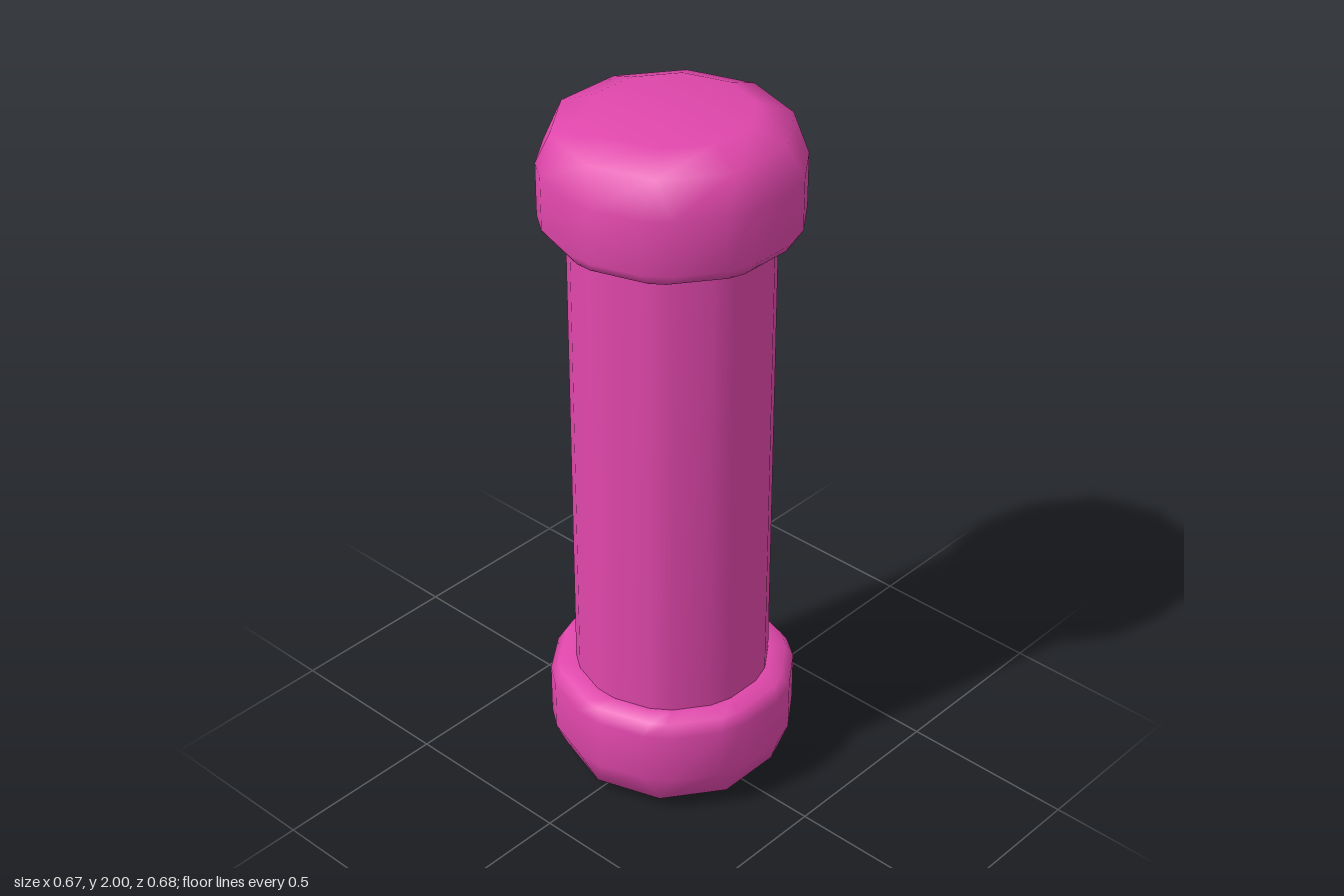
import * as THREE from 'three';
import { mergeVertices } from 'three/addons/utils/BufferGeometryUtils.js';

const SIDES = 10;

// Ten-sided ring whose corners are cut by +-bevel degrees (0 = sharp corner)
function ring([r, y, bevel]) {
  const pts = [];
  for (let i = 0; i < SIDES; i++) {
    for (const s of [-1, 1]) {
      const a = THREE.MathUtils.degToRad(i * 360 / SIDES + s * bevel);
      pts.push(new THREE.Vector3(r * Math.sin(a), y, r * Math.cos(a)));
    }
  }
  return pts;
}

// Smooth skin through rings listed from bottom to top, optionally closed at both ends
function loft(profile, closed) {
  const rings = profile.map(ring);
  const n = SIDES * 2;
  const pos = [];
  const tri = (a, b, c) => {
    const area = b.clone().sub(a).cross(c.clone().sub(a)).length();
    if (area > 1e-7) for (const p of [a, b, c]) pos.push(p.x, p.y, p.z);
  };
  for (let k = 0; k < rings.length - 1; k++) {
    const lo = rings[k], hi = rings[k + 1];
    for (let i = 0; i < n; i++) {
      const j = (i + 1) % n;
      tri(lo[i], lo[j], hi[j]);
      tri(lo[i], hi[j], hi[i]);
    }
  }
  if (closed) {
    const first = rings[0], last = rings[rings.length - 1];
    const c0 = new THREE.Vector3(0, first[0].y, 0);
    const c1 = new THREE.Vector3(0, last[0].y, 0);
    for (let i = 0; i < n; i++) {
      const j = (i + 1) % n;
      tri(first[j], first[i], c0);
      tri(last[i], last[j], c1);
    }
  }
  let geo = new THREE.BufferGeometry();
  geo.setAttribute('position', new THREE.Float32BufferAttribute(pos, 3));
  geo = mergeVertices(geo, 1e-4);
  geo.computeVertexNormals();
  return geo;
}

export function createModel() {
  const group = new THREE.Group();
  const pink = new THREE.MeshStandardMaterial({ color: 0xe047ab });
  pink.name = 'pink';

  const add = (name, geo) => {
    const mesh = new THREE.Mesh(geo, pink);
    mesh.name = name;
    group.add(mesh);
  };

  // Bevelled shaft between the caps
  add('shaft', loft([[0.271, 0.28, 6.7], [0.271, 1.72, 6.7]], false));

  // Rounded end cap: [radius, height, corner bevel]
  const cap = [
    [0.271, 1.677, 6.7],
    [0.322, 1.688, 4],
    [0.343, 1.72, 6.7],
    [0.343, 1.868, 6.7],
    [0.308, 1.964, 0],
    [0.213, 2.0, 0],
  ];
  add('topCap', loft(cap, true));
  add('bottomCap', loft(cap.map(([r, y, b]) => [r, 2 - y, b]).reverse(), true));

  return group;
}
